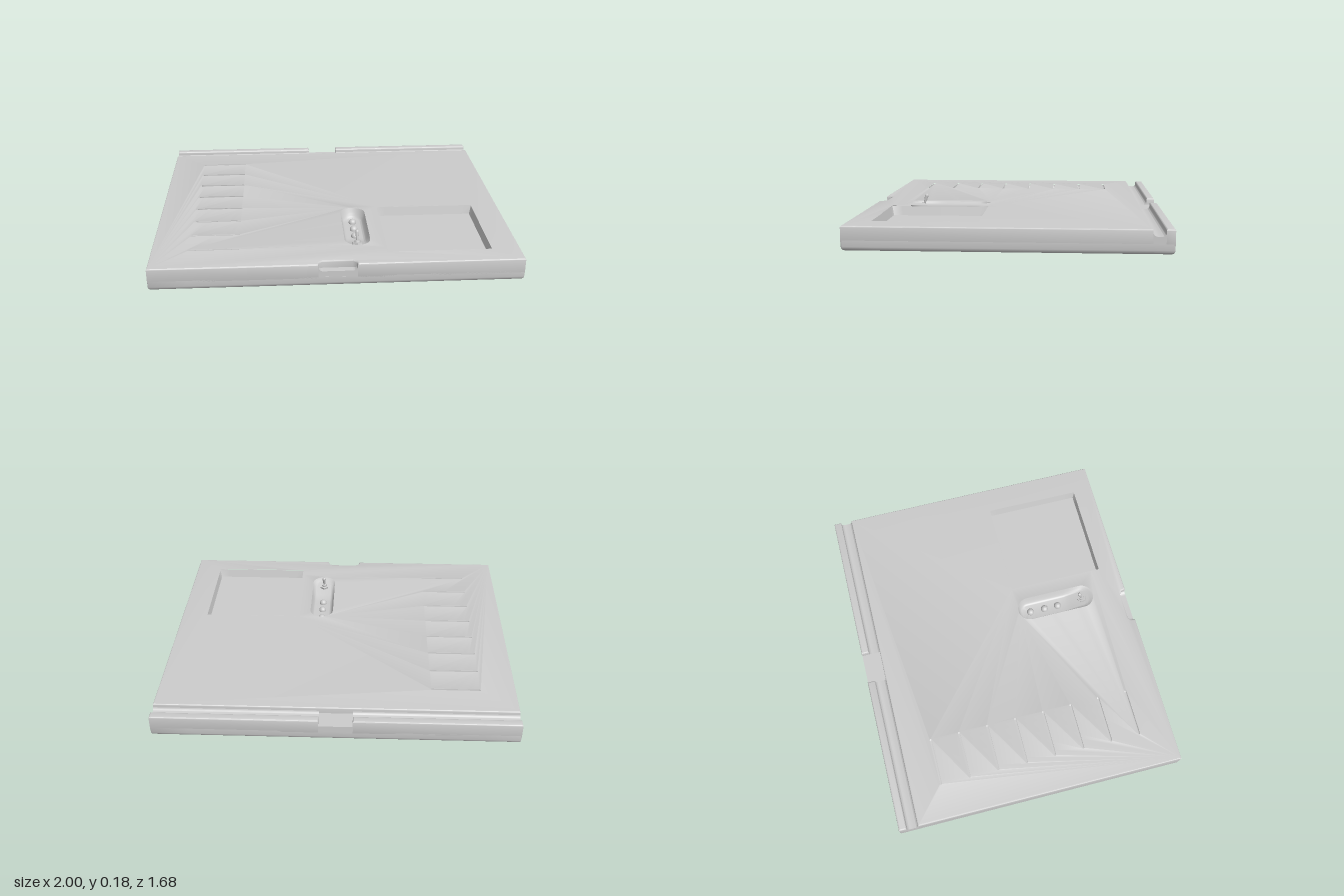
import * as THREE from 'three';
import { toCreasedNormals } from 'three/addons/utils/BufferGeometryUtils.js';

const TOP = 0.13, BEVEL = 0.008, RIM = TOP - BEVEL;
const grey = new THREE.MeshStandardMaterial({ color: 0xcccccc });

// Rounded rectangle in plan, as [x, z] points; always the same number of points
function outline(x, z, w, d, r, side = 10, corner = 8) {
  const pts = [];
  const hw = w / 2 - r, hd = d / 2 - r;
  const centres = [[hw, hd], [-hw, hd], [-hw, -hd], [hw, -hd]];
  centres.forEach(([cx, cz], k) => {
    for (let i = 0; i <= corner; i++) {
      const a = (k + i / corner) * Math.PI / 2;
      pts.push([x + cx + r * Math.cos(a), z + cz + r * Math.sin(a)]);
    }
    const a = (k + 1) * Math.PI / 2, [nx, nz] = centres[(k + 1) % 4];
    for (let i = 1; i < side; i++) {
      const t = i / side;
      pts.push([x + cx + (nx - cx) * t + r * Math.cos(a), z + cz + (nz - cz) * t + r * Math.sin(a)]);
    }
  });
  return pts;
}

// Skin through inset copies of one outline; each loop is [inset, height or height(z)]
function loft(x, z, w, d, r, loops) {
  const pos = [], idx = [];
  let n = 0;
  for (const [inset, y] of loops) {
    const pts = outline(x, z, w - 2 * inset, d - 2 * inset, Math.max(r - inset, 0));
    n = pts.length;
    for (const [px, pz] of pts) pos.push(px, typeof y === 'function' ? y(pz) : y, pz);
  }
  for (let k = 0; k < loops.length - 1; k++) {
    for (let i = 0; i < n; i++) {
      const a = k * n + i, b = k * n + (i + 1) % n;
      idx.push(b, a, a + n, b, a + n, b + n);
    }
  }
  const g = new THREE.BufferGeometry();
  g.setAttribute('position', new THREE.Float32BufferAttribute(pos, 3));
  g.setIndex(idx);
  return toCreasedNormals(g, 0.75);
}

export function createModel() {
  const model = new THREE.Group();
  const add = (name, geometry, parent = model) => {
    const mesh = new THREE.Mesh(geometry, grey);
    mesh.name = name;
    parent.add(mesh);
    return mesh;
  };

  // Lower tray with a rounded bottom edge
  add('base', loft(0, 0, 2, 1.68, 0.006, [
    [0.84, 0], [0.022, 0], [0.011, 0.003], [0.003, 0.011], [0, 0.022], [0, 0.055], [0.84, 0.055]]));

  // Recesses in the top: each makes a hole in the plate and a lining
  const holes = [];
  function recess(name, x, z, w, d, r, loops) {
    w -= 2 * BEVEL; d -= 2 * BEVEL; r = Math.max(r - BEVEL, 0.003);
    const pts = outline(x, z, w, d, r).map(([px, pz]) => new THREE.Vector2(px, -pz));
    holes.push(new THREE.Path(pts.filter((p, i) => p.distanceTo(pts[(i + 1) % pts.length]) > 1e-5)));
    const [, lastY] = loops[loops.length - 1];
    add(name, loft(x, z, w, d, r, [...loops, [Math.min(w, d) / 2, lastY]]));
  }

  // Row of eight vent slots
  for (let i = 0; i < 8; i++) {
    recess('ventSlot', -0.665, -0.55 + i * 0.1705, 0.31, 0.045, 0.0225,
      [[0, RIM], [0.001, 0.11], [0.004, 0.103], [0.009, 0.1]]);
  }

  // Square pad well
  recess('padWell', 0.56, 0.4375, 0.6, 0.595, 0.01, [[0, RIM], [0.012, 0.07]]);

  // Control trough, deep at the rear and ramping up to the front
  const depth = z => 0.058 * THREE.MathUtils.clamp((0.65 - z) / 0.19, 0, 1);
  const troughLoops = [];
  for (let i = 0; i <= 8; i++) {
    const t = i / 8;
    troughLoops.push([0.035 * t, z => RIM - depth(z) * Math.sin(t * Math.PI / 2)]);
  }
  recess('controlTrough', 0.125, 0.395, 0.175, 0.51, 0.087, troughLoops);

  // Top plate and rear lips share a softly bevelled extrusion
  function plate(name, corners, cutouts = []) {
    const shape = new THREE.Shape(corners.map(([x, z]) => new THREE.Vector2(x, -z)));
    shape.holes.push(...cutouts);
    const g = new THREE.ExtrudeGeometry(shape, {
      depth: TOP - 0.04 - 2 * BEVEL, bevelThickness: BEVEL, bevelSize: BEVEL,
      bevelOffset: -BEVEL, bevelSegments: 3, curveSegments: 8,
    });
    g.rotateX(-Math.PI / 2).translate(0, 0.04 + BEVEL, 0);
    add(name, toCreasedNormals(g, 0.75));
  }
  plate('topPlate', [[-1, -0.73], [1, -0.73], [1, 0.84], [0.105, 0.84], [0.1, 0.815], [0.08, 0.8],
    [-0.08, 0.8], [-0.1, 0.815], [-0.105, 0.84], [-1, 0.84]], holes);
  for (const [a, b] of [[-1, -0.095], [0.09, 1]]) {
    plate('rearLip', [[a, -0.84], [b, -0.84], [b, -0.795], [a, -0.795]]);
  }

  // Rounded channel lining: a U section of given width, extruded
  function channel(width, length, floor, r) {
    const h = width / 2, s = new THREE.Shape();
    s.moveTo(-h, 0.045).lineTo(h, 0.045).lineTo(h, floor + r);
    s.absarc(h - r, floor + r, r, 0, -Math.PI / 2, true);
    s.lineTo(-h + r, floor);
    s.absarc(-h + r, floor + r, r, -Math.PI / 2, -Math.PI, true);
    const g = new THREE.ExtrudeGeometry(s, { depth: length, bevelEnabled: false, curveSegments: 6 });
    return toCreasedNormals(g.translate(0, 0, -length / 2), 0.6);
  }

  // Hinge groove, with the gap between the lips open to the back
  for (const [a, b] of [[-1, -0.095], [0.09, 1]]) {
    const groove = add('hingeGroove', channel(0.067, b - a, 0.092, 0.022));
    groove.rotation.y = Math.PI / 2;
    groove.position.set((a + b) / 2, 0, -0.7625);
  }
  add('hingeGapFloor', new THREE.BoxGeometry(0.187, 0.045, 0.112).translate(-0.0025, 0.0695, -0.784));

  // Finger notch in the front edge
  add('fingerNotch', channel(0.212, 0.058, 0.088, 0.028)).position.z = 0.81;

  // Round buttons on the trough floor
  for (const z of [0.235, 0.325, 0.41]) {
    add('button', new THREE.SphereGeometry(0.022, 20, 14)).position.set(0.125, 0.068, z);
  }

  // Toggle switch standing square to the ramp
  const toggle = new THREE.Group();
  toggle.name = 'toggleSwitch';
  add('toggleNut', toCreasedNormals(new THREE.CylinderGeometry(0.029, 0.029, 0.02, 6), 0.5), toggle);
  add('toggleCollar', new THREE.CylinderGeometry(0.016, 0.018, 0.02, 16), toggle).position.y = 0.012;
  const lever = [[0, 0], [0.006, 0], [0.007, 0.035], [0.011, 0.067], [0.01, 0.075], [0.006, 0.08], [0, 0.082]];
  add('toggleLever', new THREE.LatheGeometry(lever.map(p => new THREE.Vector2(...p)), 16), toggle);
  toggle.position.set(0.125, 0.1, 0.566);
  toggle.rotation.x = -0.3;
  model.add(toggle);

  return model;
}
